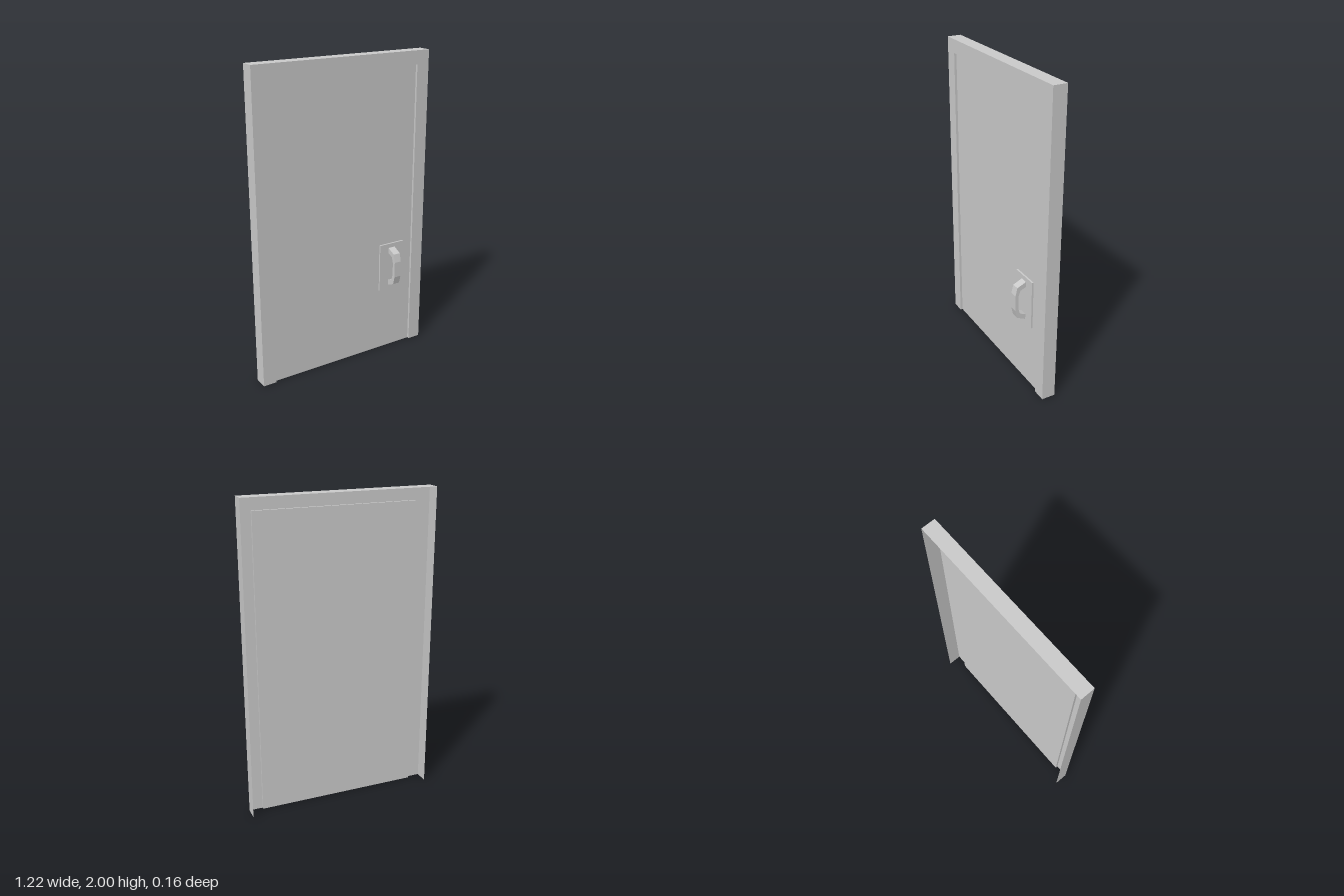
import * as THREE from 'three';

const material = new THREE.MeshStandardMaterial({ color: 0xcccccc, flatShading: true, side: THREE.DoubleSide });

const HALF_W = 0.612, HEIGHT = 2, BACK = -0.08, FRONT = 0.009;
const BORDER = 0.087, PANEL_Z = -0.006;

function addMesh(group, name, geometry, x = 0, y = 0, z = 0) {
  const mesh = new THREE.Mesh(geometry, material);
  mesh.name = name;
  mesh.position.set(x, y, z);
  group.add(mesh);
  return mesh;
}

// Thin sheet frame, open at the back: a [inset, z] section carried up, across and down
function frameGeometry() {
  const section = [[0, BACK], [0, FRONT], [BORDER, FRONT], [BORDER, PANEL_Z]];
  const stations = [[-1, 0], [-1, 1], [1, 1], [1, 0]]; // side, top or bottom
  const point = ([side, top], [inset, z]) => [side * (HALF_W - inset), top * (HEIGHT - inset), z];
  const positions = [];
  for (let k = 0; k < stations.length - 1; k++) {
    for (let i = 0; i < section.length - 1; i++) {
      const a = point(stations[k], section[i]);
      const b = point(stations[k], section[i + 1]);
      const c = point(stations[k + 1], section[i + 1]);
      const d = point(stations[k + 1], section[i]);
      positions.push(...a, ...b, ...c, ...a, ...c, ...d);
    }
  }
  const geometry = new THREE.BufferGeometry();
  geometry.setAttribute('position', new THREE.Float32BufferAttribute(positions, 3));
  geometry.computeVertexNormals();
  return geometry;
}

// Faceted pull: a side outline of [z, half height], mirrored top to bottom, then extruded
function handleGeometry(width) {
  const mirrored = (half) => [...half, ...half.map(([z, y]) => [z, -y]).reverse()];
  const outer = mirrored([[0.004, 0.134], [0.065, 0.106], [0.078, 0.052]]);
  const inner = mirrored([[0.004, 0.098], [0.044, 0.082], [0.057, 0.042]]);
  const outline = [...outer, ...inner.reverse()].map(([z, y]) => new THREE.Vector2(z, y));
  const geometry = new THREE.ExtrudeGeometry(new THREE.Shape(outline), { depth: width, bevelEnabled: false });
  geometry.translate(0, 0, -width / 2);
  geometry.rotateY(-Math.PI / 2); // outline x becomes +z
  return geometry;
}

export function createModel() {
  const model = new THREE.Group();
  model.name = 'door';

  addMesh(model, 'doorFrame', frameGeometry());

  // Recessed door leaf
  const leafHeight = HEIGHT - BORDER;
  addMesh(model, 'doorPanel', new THREE.PlaneGeometry(2 * (HALF_W - BORDER), leafHeight), 0, leafHeight / 2, PANEL_Z);

  // Backing plate and pull handle
  addMesh(model, 'handlePlate', new THREE.BoxGeometry(0.185, 0.324, 0.011), 0.362, 0.595, PANEL_Z + 0.0065);
  addMesh(model, 'handle', handleGeometry(0.049), 0.361, 0.595, 0);

  return model;
}
